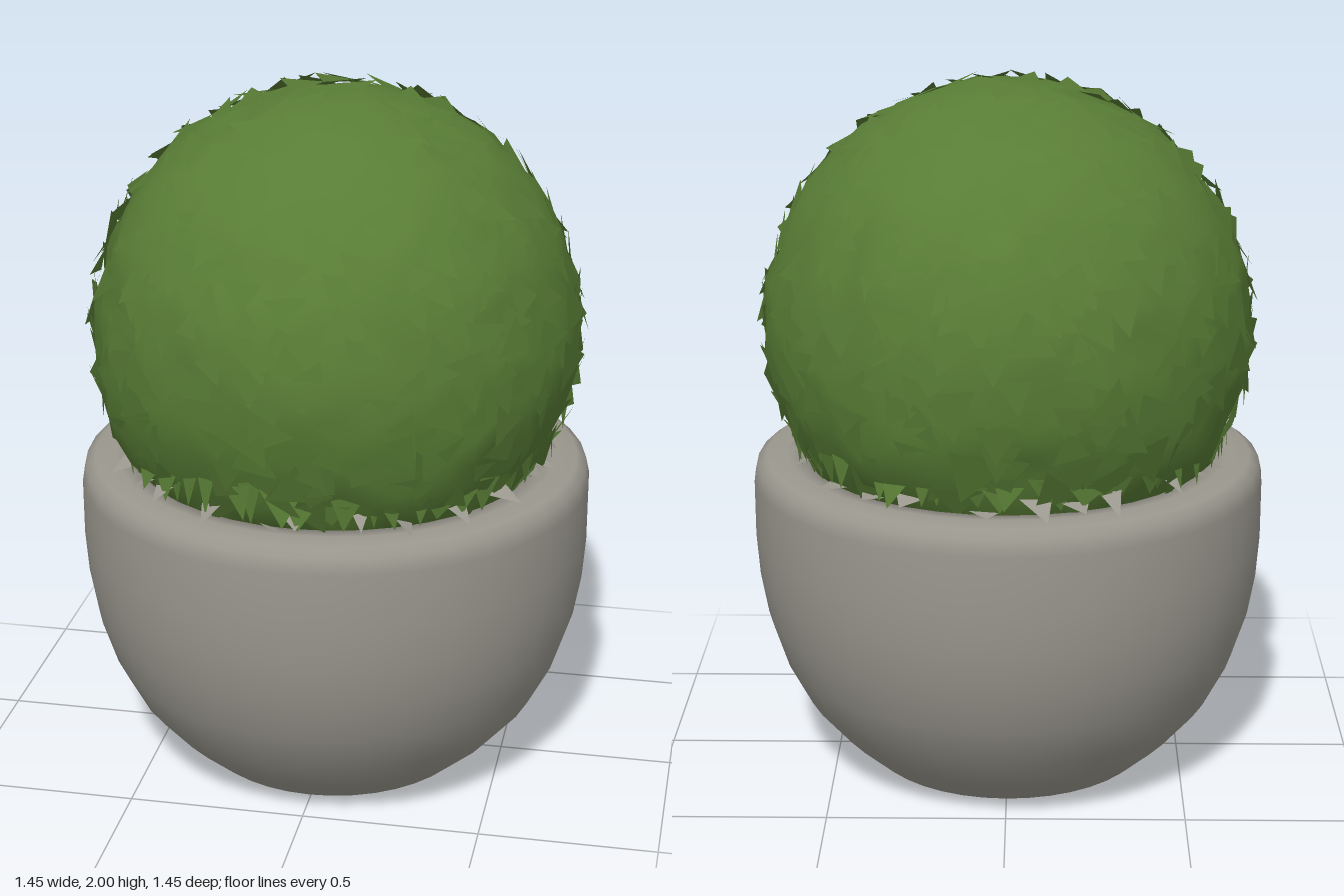
import * as THREE from 'three';
import { mergeVertices } from 'three/addons/utils/BufferGeometryUtils.js';

const CENTRE_Y = 1.3, RADIUS = 0.685;

// Small seeded random generator
function makeRandom(seed) {
  return () => {
    seed = (seed * 1664525 + 1013904223) >>> 0;
    return seed / 4294967296;
  };
}

// Bumpy clipped ball
function foliageGeometry(rand) {
  const ico = new THREE.IcosahedronGeometry(1, 9);
  ico.deleteAttribute('normal');
  ico.deleteAttribute('uv');
  const geo = mergeVertices(ico, 1e-4);
  const p = geo.attributes.position;
  const v = new THREE.Vector3();
  for (let i = 0; i < p.count; i++) {
    v.fromBufferAttribute(p, i).normalize();
    const swell = 0.008 * Math.sin(5 * v.x + 2) * Math.sin(6 * v.y + 1) + 0.006 * Math.sin(7 * v.z + 3 * v.x);
    const dent = rand() < 0.03 ? -0.03 : 0;
    v.multiplyScalar(RADIUS - 0.007 + swell + dent + (rand() - 0.5) * 0.022);
    p.setXYZ(i, v.x, Math.min(v.y, 0.7), v.z);
  }
  geo.computeVertexNormals();
  return geo;
}

// Triangular leaves lying almost flush on the ball, shaded like the ball beneath
function leavesGeometry(rand, count) {
  const pos = [], nor = [];
  const n = new THREE.Vector3(), a = new THREE.Vector3(), b = new THREE.Vector3(), q = new THREE.Vector3();
  for (let i = 0; i < count; i++) {
    const y = 1 - 1.5 * (i + 0.5) / count, ang = i * 2.39996 + rand() * 0.3;
    const r = Math.sqrt(1 - y * y);
    n.set(r * Math.cos(ang), y, r * Math.sin(ang));
    a.set(-Math.sin(ang), 0, Math.cos(ang));
    b.crossVectors(n, a);
    const turn = rand() * Math.PI * 2, size = 0.05 + 0.04 * rand();
    for (let k = 0; k < 3; k++) {
      const t = turn + k * Math.PI * 2 / 3;
      q.copy(n).multiplyScalar(RADIUS + (k === 0 ? 0.016 : -0.008))
        .addScaledVector(a, size * Math.cos(t)).addScaledVector(b, size * Math.sin(t));
      q.y = Math.min(q.y, 0.7);
      pos.push(q.x, q.y, q.z);
      nor.push(n.x, n.y, n.z);
    }
  }
  const geo = new THREE.BufferGeometry();
  geo.setAttribute('position', new THREE.Float32BufferAttribute(pos, 3));
  geo.setAttribute('normal', new THREE.Float32BufferAttribute(nor, 3));
  return geo;
}

// Ragged ring of shards hanging from the ball onto the rim
function skirtGeometry(rand, count, top, bottom, rTop, rBottom, width) {
  const pos = [];
  const put = (ang, r, y) => pos.push(r * Math.sin(ang), y, r * Math.cos(ang));
  for (let i = 0; i < count; i++) {
    const ang = (i + rand() * 0.7) / count * Math.PI * 2;
    const w = width * (0.6 + 0.8 * rand());
    const yTop = top + (rand() - 0.5) * 0.05;
    put(ang - w, rTop, yTop);
    put(ang + (rand() - 0.5) * w, rBottom + (rand() - 0.5) * 0.05, bottom + rand() * 0.02);
    put(ang + w, rTop, yTop + (rand() - 0.5) * 0.05);
  }
  const geo = new THREE.BufferGeometry();
  geo.setAttribute('position', new THREE.Float32BufferAttribute(pos, 3));
  geo.computeVertexNormals();
  return geo;
}

export function createModel() {
  const group = new THREE.Group();
  const rand = makeRandom(7);
  const stone = new THREE.MeshStandardMaterial({ color: 0x9a978e, side: THREE.DoubleSide });
  stone.name = 'grey stone';
  const green = new THREE.MeshStandardMaterial({ color: 0x587c35, side: THREE.DoubleSide });
  green.name = 'leaf green';

  const add = (name, geo, mat, y = 0) => {
    const mesh = new THREE.Mesh(geo, mat);
    mesh.name = name;
    mesh.position.y = y;
    group.add(mesh);
  };
  const lathe = pts => new THREE.LatheGeometry(pts.map(([r, y]) => new THREE.Vector2(r, y)), 40);

  // Round bowl with softened rim
  add('potBowl', lathe([[0.37, 0], [0.405, 0.015], [0.5, 0.1], [0.59, 0.205], [0.655, 0.33], [0.697, 0.46],
    [0.718, 0.58], [0.727, 0.7], [0.727, 0.86], [0.717, 0.905], [0.69, 0.924], [0.63, 0.93], [0.58, 0.925], [0.54, 0.86]]), stone);
  const base = new THREE.CircleGeometry(0.37, 40);
  base.rotateX(Math.PI / 2);
  add('potBase', base, stone);

  // Clipped bush
  add('foliageBall', foliageGeometry(rand), green, CENTRE_Y);
  add('foliageLeaves', leavesGeometry(rand, 420), green, CENTRE_Y);

  // Ragged lower leaves and loose chips on the rim
  add('lowerLeaves', skirtGeometry(rand, 60, 1.03, 0.93, 0.615, 0.61, 0.07), green);
  add('rimChips', skirtGeometry(rand, 26, 0.96, 0.925, 0.59, 0.65, 0.06), stone);
  return group;
}
